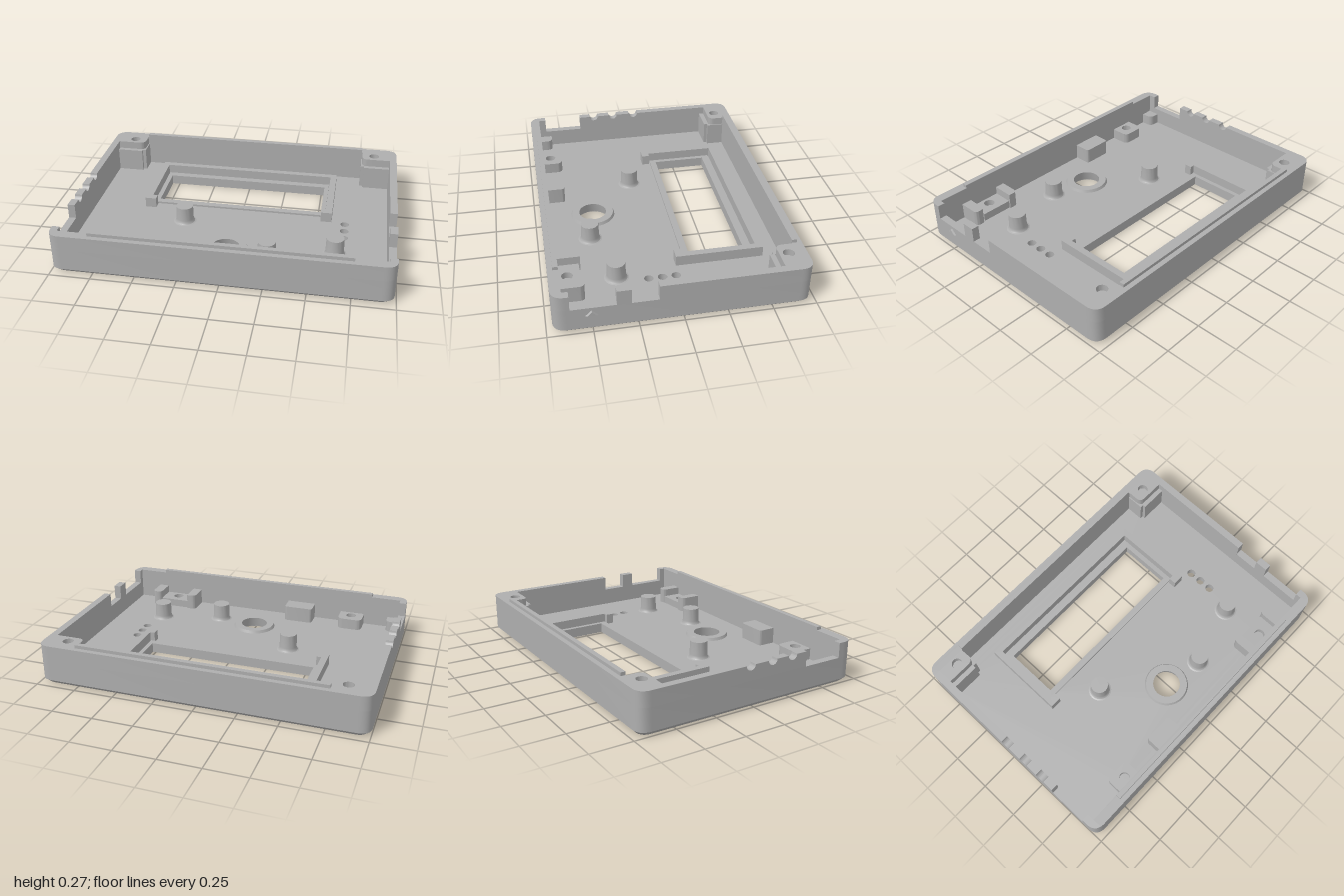
import * as THREE from 'three';
import { toCreasedNormals } from 'three/addons/utils/BufferGeometryUtils.js';

const L = -1, R = 0.99, B = -0.72, F = 0.715;        // outer limits
const LI = -0.955, RI = 0.945, BI = -0.66, FI = 0.655; // inner limits
const FLOOR = 0.05, LOW = 0.16, TOP = 0.25, RAD = 0.075;

const grey = new THREE.MeshStandardMaterial({ color: 0xaeaeae });
grey.name = 'grey plastic';
const greyThin = grey.clone();
greyThin.side = THREE.DoubleSide;

export function createModel() {
  const model = new THREE.Group();
  model.name = 'enclosureHalf';

  const add = (name, geometry, material = grey) => {
    const mesh = new THREE.Mesh(toCreasedNormals(geometry, 0.55), material);
    mesh.name = name;
    model.add(mesh);
    return mesh;
  };

  // Extrude a plan shape, drawn in x and z, from y0 to y1
  const plan = (name, shape, y0, y1) => {
    const g = new THREE.ExtrudeGeometry(shape, { depth: y1 - y0, bevelEnabled: false, curveSegments: 10 });
    g.rotateX(Math.PI / 2).translate(0, y1, 0);
    return add(name, g);
  };
  // Rectangle with a radius for each corner: (x0,z0), (x1,z0), (x1,z1), (x0,z1)
  const rect = (x0, z0, x1, z1, r = [0, 0, 0, 0], Type = THREE.Shape) => {
    const s = new Type();
    s.moveTo(x0 + r[0], z0);
    s.lineTo(x1 - r[1], z0);
    if (r[1]) s.quadraticCurveTo(x1, z0, x1, z0 + r[1]);
    s.lineTo(x1, z1 - r[2]);
    if (r[2]) s.quadraticCurveTo(x1, z1, x1 - r[2], z1);
    s.lineTo(x0 + r[3], z1);
    if (r[3]) s.quadraticCurveTo(x0, z1, x0, z1 - r[3]);
    s.lineTo(x0, z0 + r[0]);
    if (r[0]) s.quadraticCurveTo(x0, z0, x0 + r[0], z0);
    return s;
  };
  const circle = (x, z, r) => new THREE.Path().absarc(x, z, r, 0, Math.PI * 2, false);
  const block = (name, x0, z0, x1, z1, y0, y1, r) => plan(name, rect(x0, z0, x1, z1, r), y0, y1);
  const outline = (inset) => {
    const r = RAD - inset * 0.6;
    return rect(L + inset, B + inset, R - inset, F - inset, [r, r, r, r]);
  };

  // Floor with window, button hole, indicator holes and screw holes
  const screws = [[-0.85, -0.615], [0.84, -0.615], [-0.64, 0.605], [0.635, 0.605]];
  const floor = outline(0.025);
  floor.holes.push(rect(-0.55, -0.46, 0.52, -0.125, undefined, THREE.Path));
  floor.holes.push(circle(-0.015, 0.385, 0.1));
  for (const z of [-0.015, 0.065, 0.145]) floor.holes.push(circle(0.68, z, 0.027));
  for (const [x, z] of screws) floor.holes.push(circle(x, z, 0.034));
  plan('floor', floor, 0, FLOOR);

  // Chamfer between the floor outline and the walls
  const low = outline(0.025).getPoints(10), high = outline(0).getPoints(10);
  const pos = [], index = [];
  low.forEach((p, i) => {
    pos.push(p.x, 0, p.y, high[i].x, 0.025, high[i].y);
    if (i < low.length - 1) {
      const a = 2 * i;
      index.push(a, a + 1, a + 2, a + 1, a + 3, a + 2);
    }
  });
  const chamfer = new THREE.BufferGeometry();
  chamfer.setAttribute('position', new THREE.Float32BufferAttribute(pos, 3));
  chamfer.setIndex(index);
  add('bottomChamfer', chamfer, greyThin);

  // Lower wall ring
  const ring = outline(0);
  ring.holes.push(rect(LI, BI, RI, FI, undefined, THREE.Path));
  plan('lowerWall', ring, 0.025, LOW);

  // Upper walls: a U at the back and one at the front, with side openings between
  const upperWall = (name, zLeft, zRight, zEnd, zIn, s) => {
    const u = new THREE.Shape();
    u.moveTo(L, zLeft);
    u.lineTo(L, zEnd - s * RAD);
    u.quadraticCurveTo(L, zEnd, L + RAD, zEnd);
    u.lineTo(R - RAD, zEnd);
    u.quadraticCurveTo(R, zEnd, R, zEnd - s * RAD);
    u.lineTo(R, zRight);
    u.lineTo(RI, zRight);
    u.lineTo(RI, zIn);
    u.lineTo(LI, zIn);
    u.lineTo(LI, zLeft);
    plan(name, u, LOW, TOP);
  };
  upperWall('backUpperWall', -0.06, 0.14, B, BI, -1);
  upperWall('frontUpperWall', 0.61, 0.62, F, FI, 1);
  block('sidePost', RI, 0.29, R, 0.37, LOW, TOP);

  // Side wall with three round cable notches
  const comb = new THREE.Shape();
  comb.moveTo(-0.06, LOW);
  comb.lineTo(-0.06, TOP);
  for (const z of [-0.03, 0.12, 0.26]) comb.absarc(z, TOP, 0.03, Math.PI, Math.PI * 2, false);
  comb.lineTo(0.36, TOP);
  comb.lineTo(0.36, LOW);
  const combGeo = new THREE.ExtrudeGeometry(comb, { depth: LI - L, bevelEnabled: false, curveSegments: 10 });
  add('cableNotches', combGeo.rotateY(-Math.PI / 2).translate(LI, 0, 0));

  // Locating lips
  block('backLip', -0.765, -0.69, 0.755, BI, TOP, 0.27);
  block('frontLip', -0.765, FI, 0.755, 0.685, TOP, 0.27);

  // Screw bosses, each with a hole closed part way up
  const boss = (name, shape, [x, z], y1) => {
    shape.holes.push(circle(x, z, 0.033));
    plan(name, shape, FLOOR, y1);
    const disc = new THREE.CircleGeometry(0.035, 20).rotateX(-Math.PI / 2);
    add(name + 'HoleEnd', disc, greyThin).position.set(x, y1 - 0.04, z);
  };
  boss('backRightCorner', rect(LI, BI, -0.77, -0.56, [0, 0, 0.04, 0]), screws[0], TOP);
  boss('backLeftCorner', rect(0.76, BI, RI, -0.56, [0, 0, 0, 0.04]), screws[1], TOP);
  boss('frontRightBoss', rect(-0.72, 0.53, -0.56, FI, [0.04, 0.04, 0, 0]), screws[2], 0.12);
  boss('frontLeftBoss', rect(0.535, 0.53, 0.735, FI), screws[3], 0.1);
  // Ledges below the corner bosses
  const ledge = (x0, x1, xa, xb) => {
    block('cornerLedge', x0, -0.56, x1, -0.53, FLOOR, 0.2);
    block('cornerLedgeSide', xa, BI, xb, -0.55, FLOOR, 0.2);
  };
  ledge(LI, -0.785, -0.785, -0.763);
  ledge(0.775, RI, 0.753, 0.775);

  // Cheeks beside the front boss, and support blocks
  block('bossCheek', 0.475, 0.52, 0.535, FI, FLOOR, 0.15, [0.03, 0, 0, 0]);
  block('bossCheek', 0.735, 0.52, 0.8, FI, FLOOR, 0.15, [0.03, 0.03, 0, 0]);
  block('supportBlock', -0.375, 0.545, -0.185, FI, FLOOR, 0.15, [0.02, 0.02, 0, 0]);
  block('cornerSupport', LI, 0.575, -0.88, FI, FLOOR, 0.12, [0, 0.04, 0, 0]);

  // Display frame: rails on three sides with hooked ends
  const rails = new THREE.Shape([
    [-0.625, -0.555], [0.595, -0.555], [0.595, -0.03], [0.525, -0.03], [0.525, -0.078], [0.555, -0.078],
    [0.555, -0.515], [-0.585, -0.515], [-0.585, -0.078], [-0.555, -0.078], [-0.555, -0.03], [-0.625, -0.03],
  ].map(([x, z]) => new THREE.Vector2(x, z)));
  plan('displayRails', rails, FLOOR, 0.115);
  const bezel = rect(-0.578, -0.505, 0.548, -0.085);
  bezel.holes.push(rect(-0.55, -0.46, 0.52, -0.125, undefined, THREE.Path));
  plan('displayBezel', bezel, FLOOR, 0.062);

  const lathe = (name, points, x, z) => add(name,
    new THREE.LatheGeometry(points.map((p) => new THREE.Vector2(...p)), 32)).position.set(x, 0, z);

  // Pegs with filleted feet
  for (const [x, z] of [[-0.33, 0.1], [0.24, 0.43], [0.635, 0.325]]) {
    lathe('peg', [[0.072, FLOOR], [0.063, 0.053], [0.057, 0.061], [0.055, 0.075], [0.053, 0.16], [0, 0.16]], x, z);
  }
  // Raised collar and tapered bore of the button hole
  lathe('buttonCollar', [[0.138, FLOOR], [0.13, 0.068], [0.085, 0.068], [0.1, 0]], -0.015, 0.385);

  // Raised triangular mark on the side
  const mark = new THREE.CylinderGeometry(0.03, 0.052, 0.02, 3);
  mark.rotateY(-Math.PI / 2).rotateZ(-Math.PI / 2).scale(1, 0.58, 1);
  add('triangleMark', mark).position.set(0.99, 0.12, 0.505);

  return model;
}
